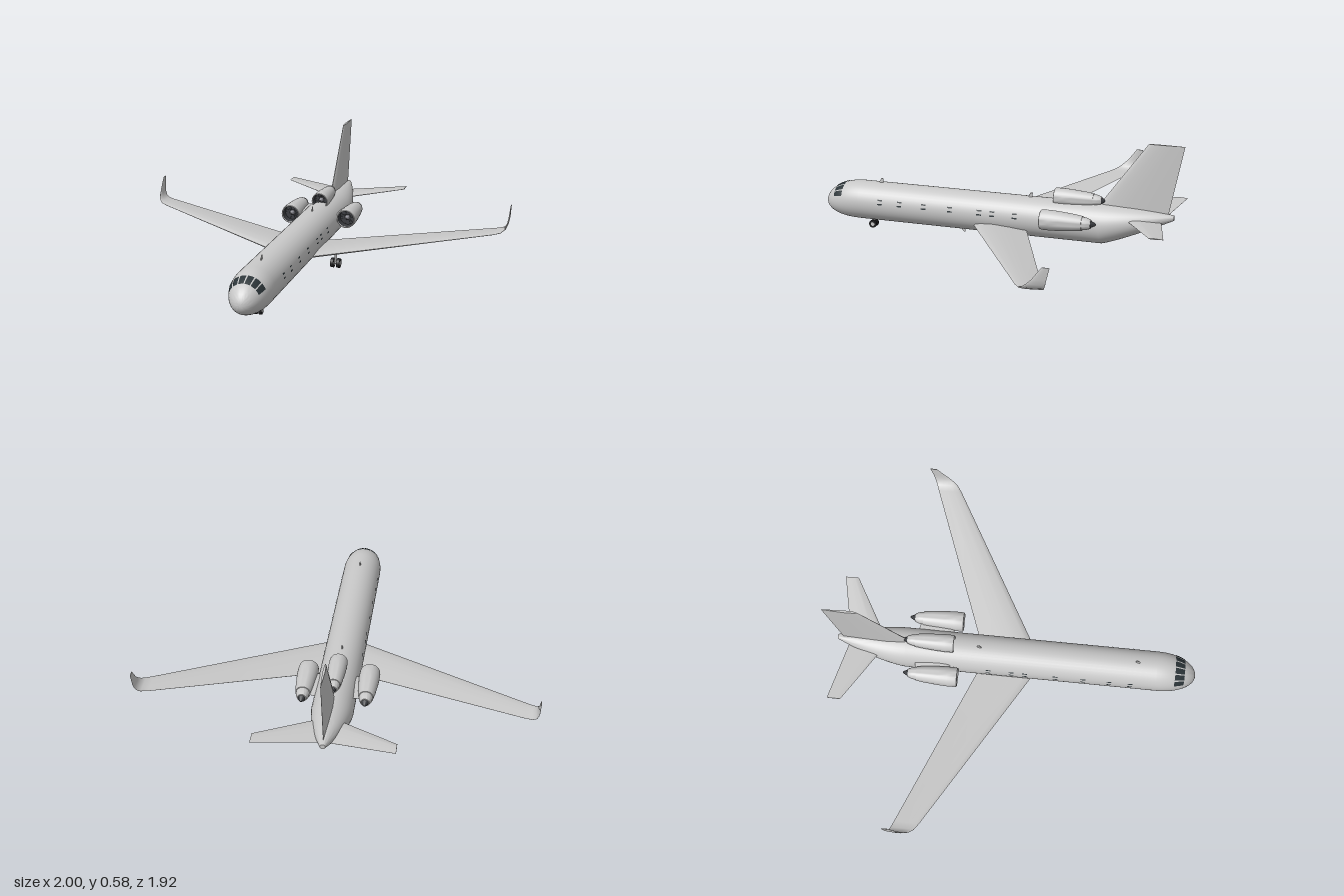
import * as THREE from 'three';
import { toCreasedNormals } from 'three/addons/utils/BufferGeometryUtils.js';

const V = (x, y, z) => new THREE.Vector3(x, y, z);

// Closed skin through rings of points, with end caps; faces are turned outward
function loft(rings, crease = 0.7) {
  const n = rings[0].length, pts = rings.flat(), idx = [];
  for (let i = 0; i < rings.length - 1; i++) {
    for (let j = 0; j < n; j++) {
      const a = i * n + j, b = i * n + (j + 1) % n;
      idx.push([a, b, a + n], [b, b + n, a + n]);
    }
  }
  [0, rings.length - 1].forEach((r) => {
    const c = pts.length;
    pts.push(rings[r].reduce((s, p) => s.add(p), V(0, 0, 0)).divideScalar(n));
    for (let j = 0; j < n; j++) {
      const a = r * n + j, b = r * n + (j + 1) % n;
      idx.push(r ? [c, a, b] : [c, b, a]);
    }
  });
  let volume = 0;
  idx.forEach(([a, b, c]) => { volume += pts[a].dot(V(0, 0, 0).crossVectors(pts[b], pts[c])); });
  if (volume < 0) idx.forEach((t) => t.reverse());
  const geo = new THREE.BufferGeometry().setFromPoints(pts);
  geo.setIndex(idx.flat());
  return toCreasedNormals(geo, crease);
}

// Fuselage section at z: centre height and half sizes
function section(z) {
  if (z > 0.75) {
    const t = (z - 0.75) / 0.21, r = 0.103 * Math.sqrt(Math.max(0, 1 - t ** 2.2));
    return { cy: 0.157 - 0.017 * t * t, rx: r, ry: r };
  }
  if (z < -0.56) {
    const t = (-0.56 - z) / 0.36;
    const top = 0.26 - 0.027 * t * t, bottom = 0.054 + 0.153 * t ** 1.15;
    return { cy: (top + bottom) / 2, rx: 0.103 * (1 - 0.88 * t ** 1.6), ry: (top - bottom) / 2 };
  }
  return { cy: 0.157, rx: 0.103, ry: 0.103 };
}

// Point on the skin; angle is measured from straight up toward +x
function skin(z, a, out = 0) {
  const s = section(z);
  return V((s.rx + out) * Math.sin(a), s.cy + (s.ry + out) * Math.cos(a), z);
}

// Thin curved pane lying on the skin
function pane(z0, z1, a0, a1) {
  const geo = new THREE.PlaneGeometry(1, 1, 4, 4), p = geo.attributes.position;
  for (let i = 0; i < p.count; i++) {
    const q = skin(z0 + (z1 - z0) * (p.getX(i) + 0.5), a0 + (a1 - a0) * (p.getY(i) + 0.5), 0.002);
    p.setXYZ(i, q.x, q.y, q.z);
  }
  geo.computeVertexNormals();
  return geo;
}

// Wing-like surface; stations are [x, y, leading z, trailing z, thickness, tilt]
const FOIL = [[0, 0], [0.03, 0.45], [0.12, 0.8], [0.35, 1], [0.65, 0.65], [1, 0.04]];
function foil(stations, side = 1) {
  const outline = [...FOIL, ...FOIL.slice(1).reverse().map(([c, h]) => [c, -h])];
  return loft(stations.map(([x, y, lead, trail, thick, tilt]) => outline.map(([c, h]) => V(
    side * (x - Math.sin(tilt) * h * thick / 2),
    y + Math.cos(tilt) * h * thick / 2,
    lead + (trail - lead) * c))));
}

export function createModel() {
  const model = new THREE.Group();
  const material = (name, color, side = THREE.FrontSide) => {
    const m = new THREE.MeshStandardMaterial({ color, side });
    m.name = name;
    return m;
  };
  const body = material('light grey paint', 0xc8c8c8);
  const glass = material('dark glass', 0x2b3438, THREE.DoubleSide);
  const dark = material('dark metal', 0x3a3c40);
  const metal = material('fan metal', 0x85858c);
  const rubber = material('tyre rubber', 0x222224);
  const add = (name, geo, mat, parent = model) => {
    const mesh = new THREE.Mesh(geo, mat);
    mesh.name = name;
    parent.add(mesh);
    return mesh;
  };

  // Fuselage
  const zs = [];
  for (let i = 0; i <= 14; i++) zs.push(0.75 + 0.2098 * Math.sin(i / 14 * Math.PI / 2));
  zs.reverse();
  for (let i = 0; i <= 14; i++) zs.push(-0.56 - 0.36 * i / 14);
  add('fuselage', loft(zs.map((z) => Array.from({ length: 40 }, (_, j) => skin(z, j / 40 * Math.PI * 2)))), body);

  // Cockpit windows
  for (let i = 0; i < 6; i++) {
    const a = (i - 2.5) * 0.4;
    add('cockpitWindow', pane(0.847, 0.898, a - 0.165, a + 0.165), glass);
  }

  // Cabin windows: a dark upper and lower edge on each side
  for (const side of [1, -1]) {
    for (const z of [0.62, 0.51, 0.375, 0.23, 0.07, 0, -0.12]) {
      for (const y of [0.19, 0.169]) {
        const a = Math.acos((y - 0.157) / 0.103);
        add('cabinWindow', pane(z - 0.013, z + 0.013, side * (a - 0.035), side * (a + 0.035)), glass);
      }
    }
  }

  // Wings with curved winglets, and tailplanes
  const wing = [
    [0, 0.1, 0.153, -0.148, 0.04, 0], [0.1, 0.106, 0.096, -0.187, 0.036, 0.06],
    [0.93, 0.153, -0.379, -0.507, 0.011, 0.06], [0.965, 0.158, -0.402, -0.52, 0.01, 0.3],
    [0.983, 0.17, -0.425, -0.528, 0.009, 0.85], [0.992, 0.19, -0.45, -0.535, 0.008, 1.25],
    [0.996, 0.215, -0.475, -0.541, 0.007, 1.45], [0.998, 0.275, -0.52, -0.556, 0.004, 1.55],
  ];
  const tail = [[0, 0.195, -0.66, -0.855, 0.022, 0.08], [0.34, 0.221, -0.86, -0.93, 0.006, 0.08]];
  for (const side of [1, -1]) {
    const label = side > 0 ? 'left' : 'right';
    add(label + 'Wing', foil(wing, side), body);
    add(label + 'Tailplane', foil(tail, side), body);
    add(label + 'EnginePylon', foil([[0.07, 0.197, -0.32, -0.51, 0.022, 0], [0.13, 0.197, -0.32, -0.5, 0.02, 0]], side), body);
  }

  // Fin
  add('fin', foil([[0, 0.2, -0.5, -0.884, 0.034, Math.PI / 2], [0, 0.59, -0.78, -0.96, 0.012, Math.PI / 2]]), body);

  // Engines, turned about their length with the inlet at local zero
  const lathe = (pts) => toCreasedNormals(
    new THREE.LatheGeometry(pts.map(([r, z]) => new THREE.Vector2(r, z)), 32).rotateX(Math.PI / 2), 0.7);
  const engine = (name, x, y, z, k) => {
    const g = new THREE.Group();
    g.name = name;
    add('nacelle', lathe([[0.026, -0.215], [0.037, -0.215], [0.043, -0.17], [0.049, -0.1], [0.0515, -0.05],
      [0.051, -0.015], [0.049, -0.002], [0.046, 0], [0.043, -0.004]]), body, g);
    add('exhaustPipe', lathe([[0, -0.258], [0.022, -0.258], [0.031, -0.235], [0.034, -0.205]]), body, g);
    add('exhaustCone', lathe([[0, -0.286], [0.006, -0.282], [0.019, -0.256]]), dark, g);
    add('inletDuct', lathe([[0.043, -0.004], [0.041, -0.045], [0, -0.045]]), dark, g);
    for (let i = 0; i < 16; i++) {
      const blade = add('fanBlade', new THREE.BoxGeometry(0.004, 0.028, 0.003).translate(0, 0.026, 0), dark, g);
      blade.position.z = -0.042;
      blade.rotation.z = i / 16 * Math.PI * 2;
    }
    add('spinner', lathe([[0.015, -0.045], [0.011, -0.03], [0, -0.02]]), metal, g);
    g.position.set(x, y, z);
    g.scale.set(k, k, 0.5 + k / 2);
    model.add(g);
  };
  engine('leftEngine', 0.155, 0.198, -0.275, 1);
  engine('rightEngine', -0.155, 0.198, -0.275, 1);
  engine('centreEngine', 0, 0.275, -0.306, 0.89);

  // Landing gear: a strut, an axle and paired wheels
  const gear = (name, x, z, r, gap, width, top) => {
    const g = new THREE.Group();
    g.name = name;
    const strut = add('strut', new THREE.CylinderGeometry(0.006, 0.006, top - r, 12), body, g);
    strut.position.y = (top + r) / 2;
    add('axle', new THREE.CylinderGeometry(0.004, 0.004, gap * 2, 10).rotateZ(Math.PI / 2), metal, g).position.y = r;
    for (const s of [1, -1]) {
      add('tyre', new THREE.CylinderGeometry(r, r, width, 20).rotateZ(Math.PI / 2), rubber, g).position.set(s * gap, r, 0);
      add('hub', new THREE.CylinderGeometry(r * 0.5, r * 0.5, width + 0.003, 16).rotateZ(Math.PI / 2), body, g)
        .position.set(s * gap, r, 0);
    }
    g.position.set(x, 0.005, z);
    model.add(g);
  };
  gear('noseGear', 0, 0.7, 0.021, 0.012, 0.013, 0.07);
  gear('leftMainGear', 0.167, -0.047, 0.025, 0.016, 0.016, 0.1);
  gear('rightMainGear', -0.167, -0.047, 0.025, 0.016, 0.016, 0.1);

  // Blade antennas
  for (const [z, y0, y1] of [[0.65, 0.25, 0.282], [-0.176, 0.25, 0.282], [0.19, 0.065, 0.034]]) {
    add('antenna', foil([[0, y0, z + 0.018, z - 0.01, 0.008, Math.PI / 2],
      [0, y1, z, z - 0.012, 0.005, Math.PI / 2]]), body);
  }
  return model;
}
